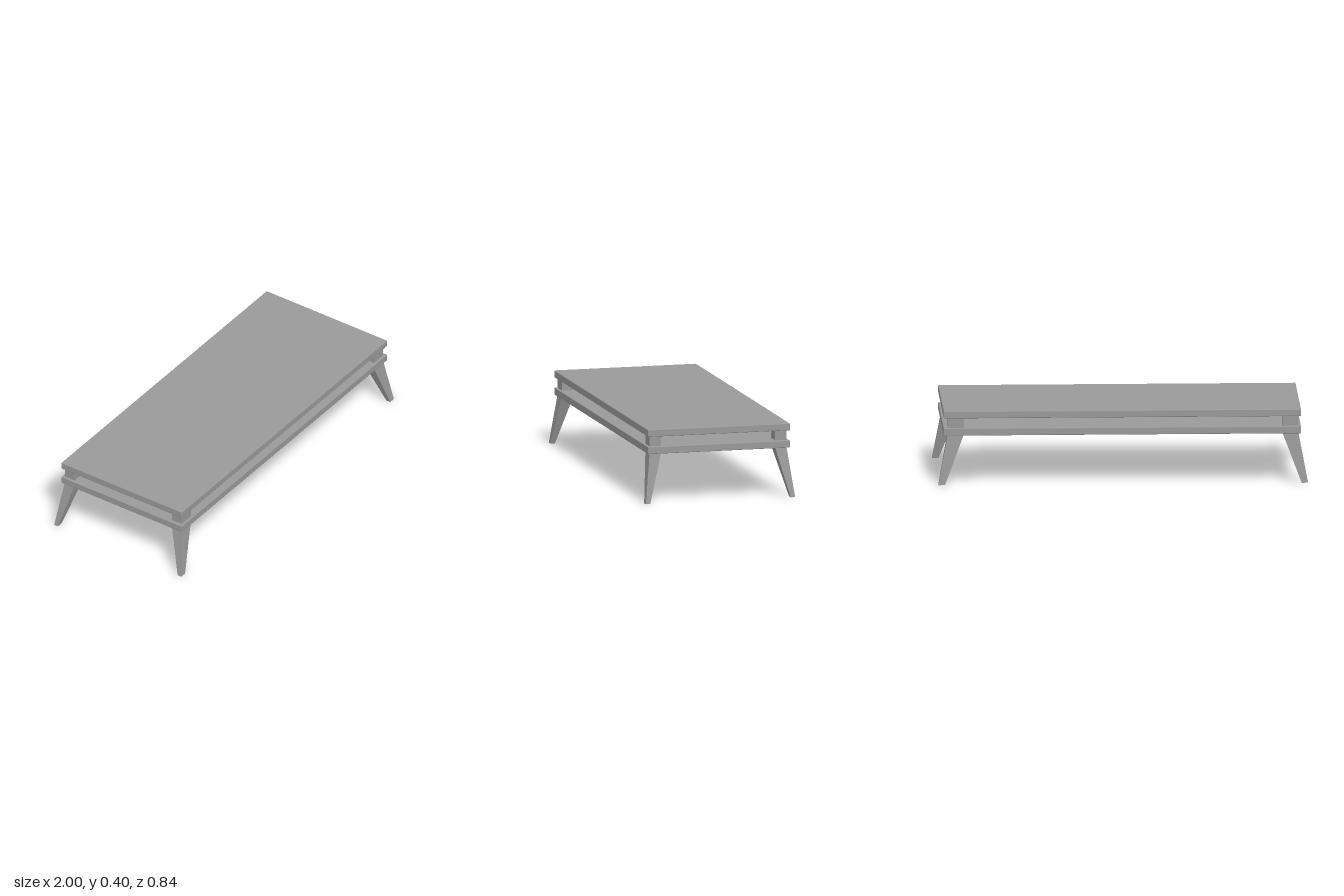
import * as THREE from 'three';
import { RoundedBoxGeometry } from 'three/addons/geometries/RoundedBoxGeometry.js';

// Box whose top and bottom rectangles are given separately: [x0, x1, z0, z1]
function taperedBox(bottom, top, y0, y1) {
  const geo = new THREE.BoxGeometry(1, 1, 1).toNonIndexed();
  const p = geo.attributes.position;
  for (let i = 0; i < p.count; i++) {
    const r = p.getY(i) > 0 ? top : bottom;
    p.setXYZ(i, p.getX(i) > 0 ? r[1] : r[0], p.getY(i) > 0 ? y1 : y0, p.getZ(i) > 0 ? r[3] : r[2]);
  }
  geo.computeVertexNormals();
  return geo;
}

// Mirrors a rectangle into the corner given by the signs sx and sz
function corner([x0, x1, z0, z1], sx, sz) {
  const dx = sz < 0 ? -0.004 : 0;
  const [a, b] = sx > 0 ? [x0, x1] : [-x1, -x0];
  const [c, d] = sz > 0 ? [z0, z1] : [-z1, -z0];
  return [a + dx, b + dx, c, d];
}

export function createModel() {
  const model = new THREE.Group();
  model.name = 'lowTable';
  const grey = new THREE.MeshStandardMaterial({ color: 0x999999 });
  grey.name = 'grey';

  const add = (name, geo, y = 0) => {
    const mesh = new THREE.Mesh(geo, grey);
    mesh.name = name;
    mesh.position.y = y;
    model.add(mesh);
  };

  // Two equal slabs with softened edges
  add('tableTop', new RoundedBoxGeometry(1.93, 0.039, 0.794, 2, 0.004), 0.381);
  add('lowerShelf', new RoundedBoxGeometry(1.93, 0.04, 0.794, 2, 0.004), 0.287);

  // Splayed, tapered legs with a straight spacer block above each
  const foot = [0.963, 0.998, 0.393, 0.418];
  const head = [0.86, 0.947, 0.319, 0.383];
  for (const sx of [-1, 1]) {
    for (const sz of [-1, 1]) {
      const tag = (sz > 0 ? 'front' : 'back') + (sx > 0 ? 'Left' : 'Right');
      const top = corner(head, sx, sz);
      add(tag + 'Leg', taperedBox(corner(foot, sx, sz), top, 0, 0.27));
      add(tag + 'Spacer', taperedBox(top, top, 0.304, 0.364));
    }
  }
  return model;
}
